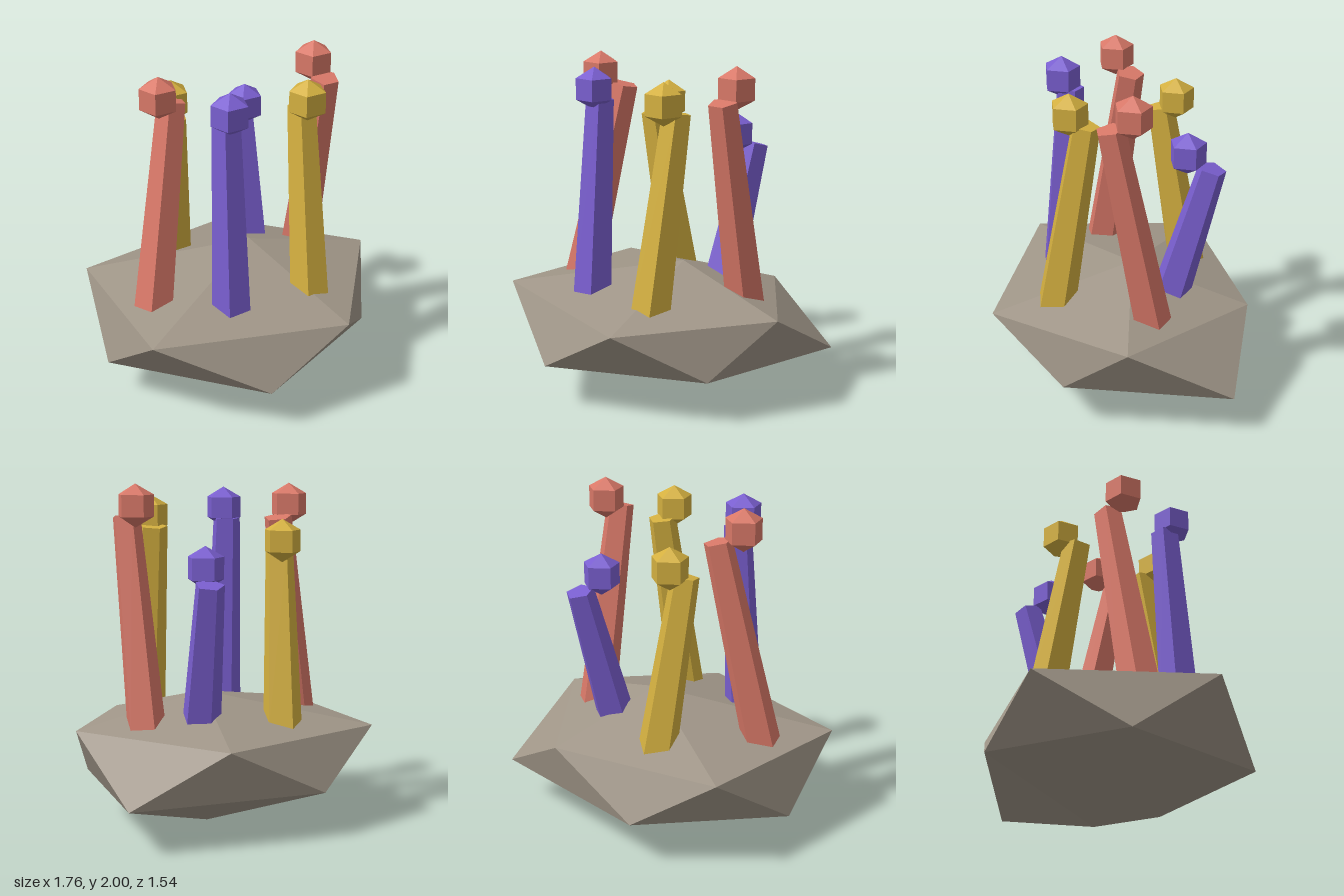
import * as THREE from 'three';

const material = (name, color) => {
  const m = new THREE.MeshStandardMaterial({ color, flatShading: true });
  m.name = name;
  return m;
};

// Faceted boulder: a top point, two staggered rings of five, a bottom point
function rockGeometry() {
  const top = [0.11, 0.78, -0.07], bottom = [0.1, 0, -0.11];
  const upper = [[0.3, 0.555, -0.745], [0.88, 0.595, 0.03], [0.275, 0.56, 0.77], [-0.835, 0.58, 0.445], [-0.76, 0.575, -0.575]];
  const lower = [[0.845, 0.255, -0.585], [0.655, 0.27, 0.38], [-0.245, 0.26, 0.765], [-0.885, 0.225, -0.05], [-0.3, 0.265, -0.775]];
  const points = [];
  for (let i = 0; i < 5; i++) {
    const j = (i + 1) % 5;
    points.push(top, upper[j], upper[i]);
    points.push(upper[i], upper[j], lower[i]);
    points.push(lower[i], upper[j], lower[j]);
    points.push(bottom, lower[i], lower[j]);
  }
  const g = new THREE.BufferGeometry();
  g.setAttribute('position', new THREE.Float32BufferAttribute(points.flat(), 3));
  g.computeVertexNormals();
  return g;
}

// Tapered five-sided stalk leaning from base to tip, its foot sunk into the rock
function makeStalk(base, tip, mat) {
  const b = new THREE.Vector3(...base), t = new THREE.Vector3(...tip);
  const axis = t.clone().sub(b).normalize();
  b.addScaledVector(axis, -0.05);
  const length = t.distanceTo(b);
  const g = new THREE.CylinderGeometry(0.085, 0.119, length, 5);
  g.rotateY(Math.PI); // ridge to the back
  const mesh = new THREE.Mesh(g, mat);
  mesh.quaternion.setFromUnitVectors(new THREE.Vector3(0, 1, 0), axis);
  mesh.position.copy(b).add(t).multiplyScalar(0.5);
  mesh.name = 'stalk';
  return mesh;
}

// Five-sided bead beside the stalk tip
function makeBead(position, mat) {
  const g = new THREE.SphereGeometry(0.125, 5, 3);
  g.rotateY(-Math.PI / 2);
  const mesh = new THREE.Mesh(g, mat);
  mesh.position.set(...position);
  mesh.name = 'bead';
  return mesh;
}

export function createModel() {
  const model = new THREE.Group();
  model.name = 'rockWithStalks';
  const stone = material('stone', 0xa09688);
  const coral = material('coral', 0xd87868);
  const gold = material('gold', 0xd4b040);
  const violet = material('violet', 0x7a5fd0);

  const rock = new THREE.Mesh(rockGeometry(), stone);
  rock.name = 'rock';
  model.add(rock);

  // Name, colour, stalk base, stalk tip, bead centre
  const polyps = [
    ['leftCoralPolyp', coral, [0.52, 0.63, -0.135], [0.52, 1.81, 0.095], [0.52, 1.875, -0.03]],
    ['frontGoldPolyp', gold, [0.25, 0.62, 0.39], [0.285, 1.74, 0.21], [0.265, 1.8, 0.3]],
    ['frontVioletPolyp', violet, [-0.255, 0.62, 0.335], [-0.243, 1.77, 0.265], [-0.248, 1.833, 0.31]],
    ['rightCoralPolyp', coral, [-0.605, 0.61, 0.035], [-0.385, 1.79, -0.105], [-0.508, 1.862, -0.03]],
    ['backGoldPolyp', gold, [-0.222, 0.63, -0.43], [-0.29, 1.61, -0.275], [-0.255, 1.67, -0.365]],
    ['backVioletPolyp', violet, [0.24, 0.65, -0.295], [0.3, 1.455, -0.505], [0.254, 1.535, -0.37]],
  ];
  for (const [name, mat, base, tip, bead] of polyps) {
    const polyp = new THREE.Group();
    polyp.name = name;
    polyp.add(makeStalk(base, tip, mat), makeBead(bead, mat));
    model.add(polyp);
  }
  return model;
}
